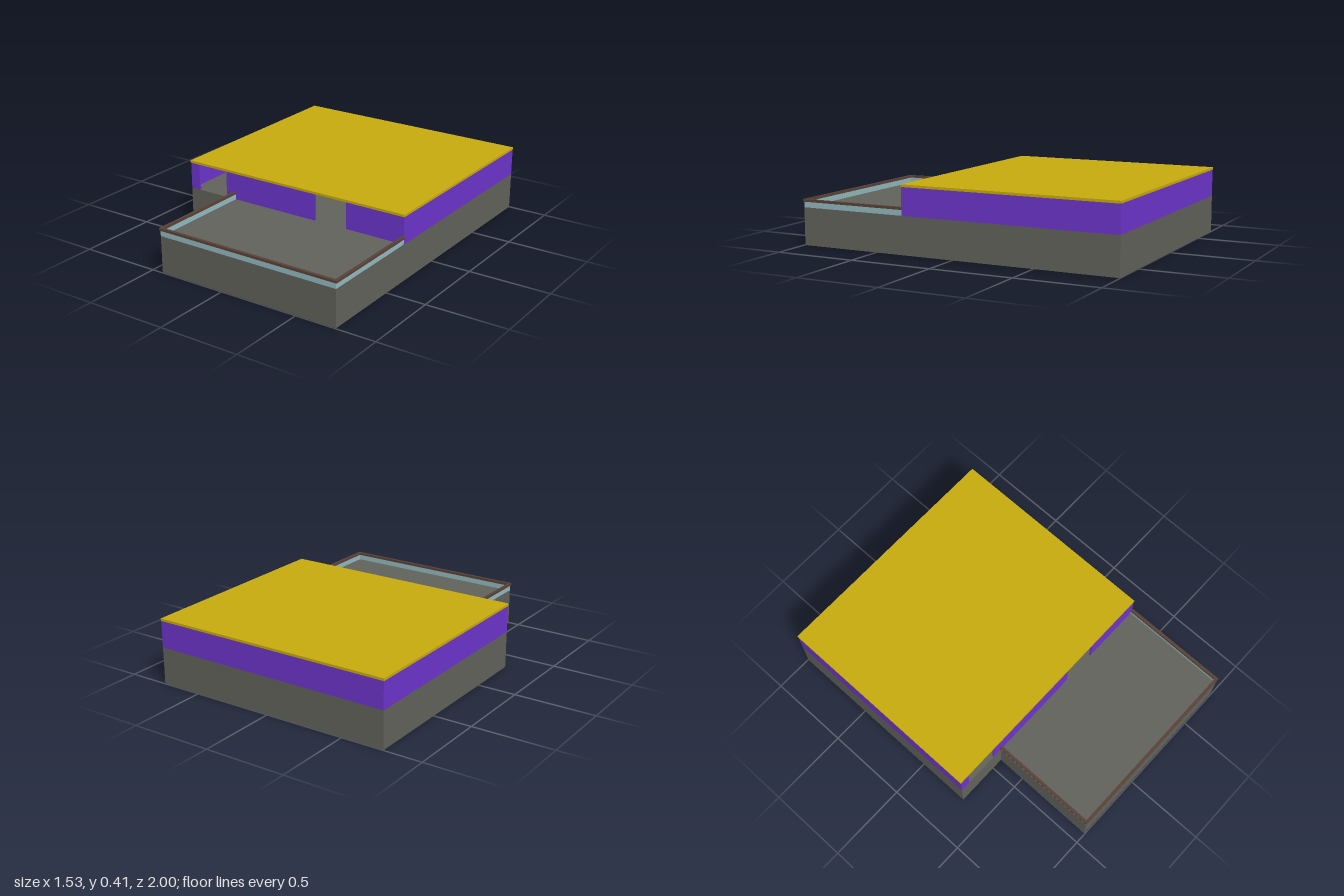
import * as THREE from 'three';

const material = (name, color) => {
  const m = new THREE.MeshStandardMaterial({ color });
  m.name = name;
  return m;
};

export function createModel() {
  const model = new THREE.Group();
  model.name = 'terraceHouse';

  const stone = material('greyStone', 0x63635c);
  const purple = material('purpleWall', 0x6e35cd);
  const gold = material('goldRoof', 0xc9ac0e);
  const glass = material('paleGlass', 0x93bbc0);
  const wood = material('brownWood', 0x5a4238);

  // Box given by its extents along each axis
  const block = (name, mat, [x0, x1], [y0, y1], [z0, z1], parent = model) => {
    const mesh = new THREE.Mesh(new THREE.BoxGeometry(x1 - x0, y1 - y0, z1 - z0), mat);
    mesh.position.set((x0 + x1) / 2, (y0 + y1) / 2, (z0 + z1) / 2);
    mesh.name = name;
    parent.add(mesh);
  };

  const left = -0.764, right = 0.754, back = -0.998, front = 0.326;
  const terraceLeft = -0.43, terraceFront = 0.995;
  const floorY = 0.226, wallTop = 0.39, t = 0.01;

  // L-shaped plinth carrying the house and the terrace
  const plan = new THREE.Shape([
    [left, -back], [left, -front], [terraceLeft, -front],
    [terraceLeft, -terraceFront], [right, -terraceFront], [right, -back],
  ].map(([x, y]) => new THREE.Vector2(x, y)));
  const baseGeometry = new THREE.ExtrudeGeometry(plan, { depth: floorY, bevelEnabled: false });
  baseGeometry.rotateX(-Math.PI / 2);
  const base = new THREE.Mesh(baseGeometry, stone);
  base.name = 'plinth';
  model.add(base);

  // Thin outer walls, with two doorways left open in the front
  const walls = new THREE.Group();
  walls.name = 'walls';
  model.add(walls);
  const wallY = [floorY, wallTop];
  block('backWall', purple, [left, right], wallY, [back, back + t], walls);
  block('rightWall', purple, [left, left + t], wallY, [back + t, front - t], walls);
  block('leftWall', purple, [right - t, right], wallY, [back + t, front - t], walls);
  for (const span of [[left, -0.70], [-0.49, 0.158], [0.372, right]]) {
    block('frontWall', purple, span, wallY, [front - t, front], walls);
  }

  // Flat roof slab
  block('roof', gold, [left - 0.003, right + 0.001], [wallTop, 0.405], [-1, front + 0.002]);

  // Glass balustrade topped by a wooden handrail on three sides
  const railing = new THREE.Group();
  railing.name = 'railing';
  model.add(railing);
  const addRun = (name, mat, x0, x1, z1, w, y) => {
    block(name, mat, [x0, x0 + w], y, [front, z1 - w], railing);
    block(name, mat, [x1 - w, x1], y, [front, z1 - w], railing);
    block(name, mat, [x0, x1], y, [z1 - w, z1], railing);
  };
  addRun('glassPanel', glass, terraceLeft, right, terraceFront, 0.008, [floorY, 0.26]);
  addRun('handrail', wood, terraceLeft - 0.006, right + 0.006, 1, 0.018, [0.26, 0.275]);

  return model;
}
